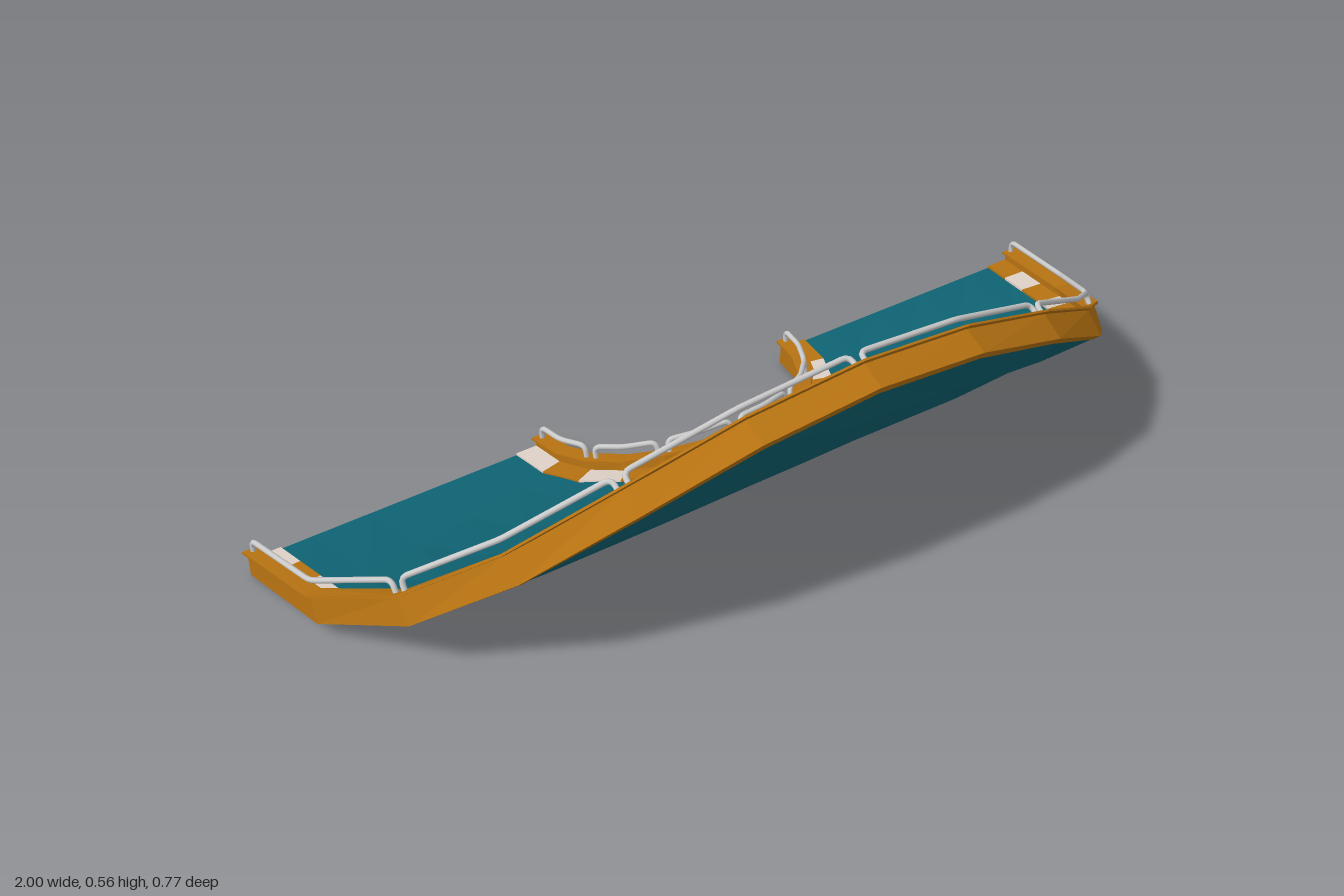
import * as THREE from 'three';

const BEND = 0.83;            // radius the flat half ring is rolled up to
const STEP = Math.PI / 12;    // 15 degree facets
const BACK = -0.385;

const mat = (color, extra = {}) => new THREE.MeshStandardMaterial({ color, flatShading: true, ...extra });
const ORANGE = mat(0xb87312);
const WHITE = mat(0xe0d2c8);
const TEAL = mat(0x0f6474);
const GREY = mat(0xcccccc, { flatShading: false });

// Flat half-ring position (radius, angle, height) rolled round a sideways axis
function rolled(r, a, h) {
  const phi = (r * Math.sin(a)) / BEND;
  const R = BEND - h;
  return new THREE.Vector3(r * Math.cos(a), BEND - R * Math.cos(phi), BACK + R * Math.sin(phi));
}

// Same, but straight between the 15 degree facet corners
function place(r, a, h) {
  const k = Math.min(11, Math.max(0, Math.floor(a / STEP + 1e-6)));
  return rolled(r, k * STEP, h).lerp(rolled(r, (k + 1) * STEP, h), a / STEP - k);
}

// Box whose axes become radius, height and angle along the curve
function bar(name, material, r0, r1, h0, h1, a0 = 0, a1 = Math.PI, segA = 12, segR = 1) {
  const geo = new THREE.BoxGeometry(1, 1, 1, segR, 1, segA);
  const p = geo.attributes.position;
  for (let i = 0; i < p.count; i++) {
    const v = place(
      r0 + (r1 - r0) * (p.getX(i) + 0.5),
      a0 + (a1 - a0) * (p.getZ(i) + 0.5),
      h0 + (h1 - h0) * (p.getY(i) + 0.5)
    );
    p.setXYZ(i, v.x, v.y, v.z);
  }
  geo.computeVertexNormals();
  const mesh = new THREE.Mesh(geo, material);
  mesh.name = name;
  return mesh;
}

// Alternating painted blocks along one edge
function kerb(name, r0, r1, count) {
  const group = new THREE.Group();
  group.name = name;
  const d = Math.PI / count;
  for (let i = 0; i < count; i++) {
    group.add(bar('kerbBlock', i % 2 ? WHITE : ORANGE, r0, r1, 0.034, 0.04, i * d, (i + 1) * d, 1));
  }
  return group;
}

// Bent tube: post, rounded corner, rail over two facets, corner, post
function railSection(r, a0, a1) {
  const gap = 0.012 / r;
  const s = a0 + gap, e = a1 - gap, top = 0.091;
  const pts = [
    place(r, s, 0.06), place(r, s, top), place(r, (a0 + a1) / 2, top),
    place(r, e, top), place(r, e, 0.06)
  ];
  const path = new THREE.CurvePath();
  let from = pts[0];
  for (let i = 1; i < 4; i++) {
    const c = pts[i], bend = 0.016;
    const p = c.clone().add(pts[i - 1].clone().sub(c).setLength(bend));
    const q = c.clone().add(pts[i + 1].clone().sub(c).setLength(bend));
    path.add(new THREE.LineCurve3(from, p));
    path.add(new THREE.QuadraticBezierCurve3(p, c, q));
    from = q;
  }
  path.add(new THREE.LineCurve3(from, pts[4]));
  const mesh = new THREE.Mesh(new THREE.TubeGeometry(path, 64, 0.006, 8), GREY);
  mesh.name = 'railSection';
  return mesh;
}

function railing(name, r) {
  const group = new THREE.Group();
  group.name = name;
  for (let i = 0; i < 6; i++) group.add(railSection(r, i * 2 * STEP, (i + 1) * 2 * STEP));
  return group;
}

export function createModel() {
  const model = new THREE.Group();
  model.name = 'bankedTrackCurve';

  // Road slab
  model.add(bar('road', TEAL, 0.315, 0.985, 0.001, 0.035, 0, Math.PI, 12, 5));

  // Side walls with a thin overhanging cap
  model.add(bar('outerWall', ORANGE, 0.972, 0.99, 0, 0.06));
  model.add(bar('outerWallCap', ORANGE, 0.962, 1.0, 0.06, 0.065));
  model.add(bar('innerWall', ORANGE, 0.31, 0.328, 0, 0.06));
  model.add(bar('innerWallCap', ORANGE, 0.3, 0.338, 0.06, 0.065));

  // Striped kerbs
  model.add(kerb('outerKerb', 0.92, 0.973, 36));
  model.add(kerb('innerKerb', 0.327, 0.377, 12));

  // Guard rails on both walls
  model.add(railing('outerRailing', 0.981));
  model.add(railing('innerRailing', 0.319));

  return model;
}
